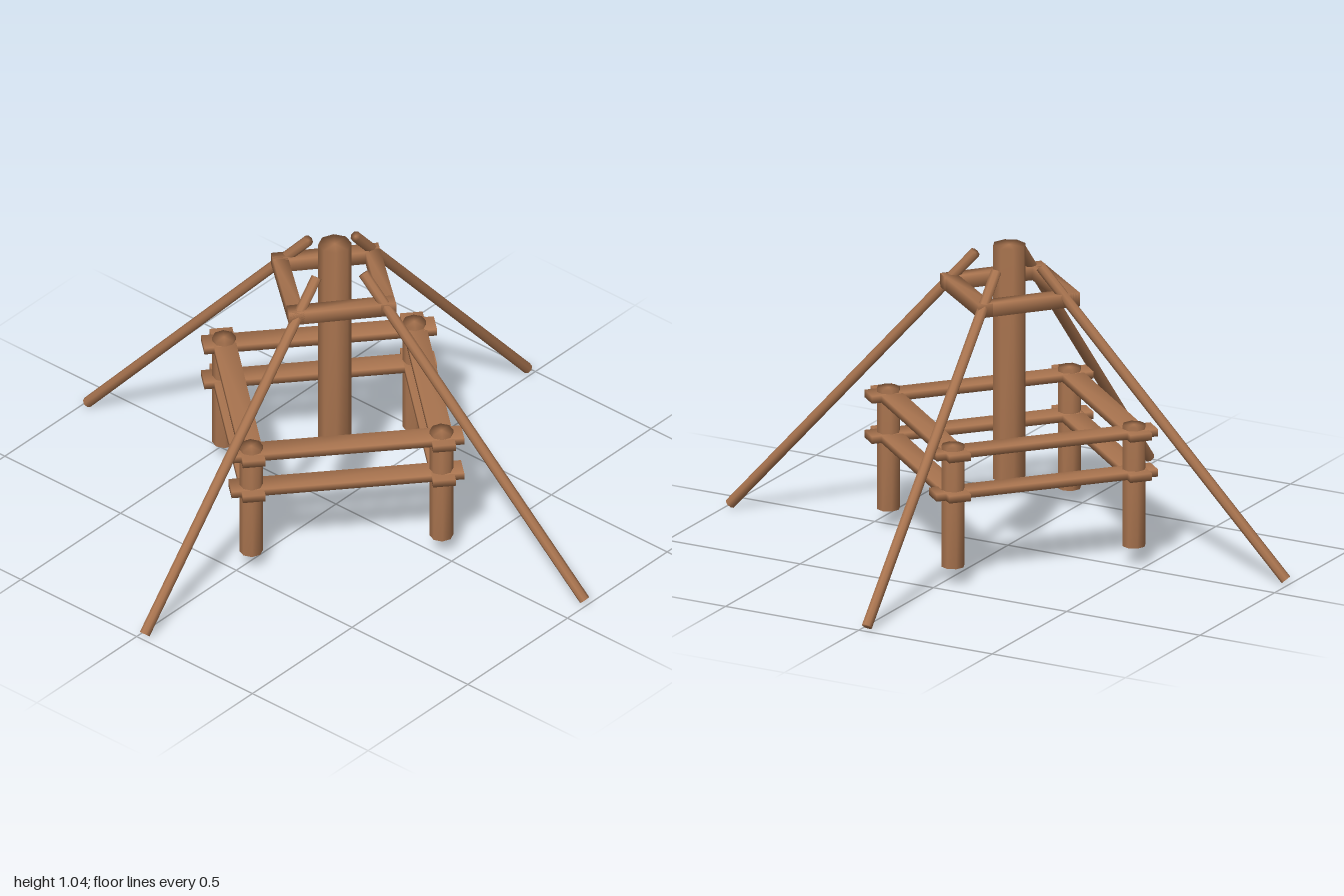
import * as THREE from 'three';
import { mergeVertices } from 'three/addons/utils/BufferGeometryUtils.js';

const wood = new THREE.MeshStandardMaterial({ color: 0xa9744f });

// Share corner vertices so the timber has softly blended shading.
function soften(geometry) {
  geometry.deleteAttribute('uv');
  geometry.deleteAttribute('normal');
  const merged = mergeVertices(geometry, 1e-4);
  merged.computeVertexNormals();
  return merged;
}

function addMesh(parent, name, geometry) {
  const mesh = new THREE.Mesh(soften(geometry), wood);
  mesh.name = name;
  parent.add(mesh);
  return mesh;
}

// Round timber running between two points.
function addPole(parent, name, from, to, radius, sides = 8) {
  const dir = to.clone().sub(from);
  const mesh = addMesh(parent, name, new THREE.CylinderGeometry(radius, radius, dir.length(), sides));
  mesh.position.copy(from).add(to).multiplyScalar(0.5);
  mesh.quaternion.setFromUnitVectors(new THREE.Vector3(0, 1, 0), dir.normalize());
  return mesh;
}

// Flat beam between two corners, running past each by `extra`.
function addBeam(parent, name, a, b, height, width, extra) {
  const d = b.clone().sub(a);
  const mesh = addMesh(parent, name, new THREE.BoxGeometry(d.length() + 2 * extra, height, width));
  mesh.position.copy(a).add(b).multiplyScalar(0.5);
  mesh.rotation.y = Math.atan2(-d.z, d.x);
  return mesh;
}

// Quarter-turn copy of a point around the frame centre.
const turn = (x, y, z, i) =>
  new THREE.Vector3(x, y, z).applyAxisAngle(new THREE.Vector3(0, 1, 0), (i * Math.PI) / 2);

export function createModel() {
  const model = new THREE.Group();
  model.name = 'timberFrame';

  // Thick post hanging in the middle
  addPole(model, 'centrePost', new THREE.Vector3(-0.003, 0.235, 0.002), new THREE.Vector3(-0.003, 1.04, 0.002), 0.055);

  // Square lower pen: posts with two levels of rails
  const pen = new THREE.Group();
  pen.name = 'lowerFrame';
  pen.position.set(-0.008, 0, 0.007);
  model.add(pen);

  // Square collar near the top of the poles
  const collar = new THREE.Group();
  collar.name = 'upperCollar';
  collar.position.set(-0.003, 0, 0.008);
  model.add(collar);

  for (let i = 0; i < 4; i++) {
    addPole(pen, 'cornerPost', turn(0.03, 0.065, 0.444, i), turn(0.03, 0.482, 0.444, i), 0.039);
    for (const y of [0.318, 0.457]) {
      addBeam(pen, 'rail', turn(0.03, y, 0.444, i), turn(0.03, y, 0.444, i + 1), 0.025, 0.075, 0.07);
    }
    addBeam(collar, 'collarBeam', turn(0.02, 0.882, 0.215, i), turn(0.02, 0.882, 0.215, i + 1), 0.046, 0.05, 0.025);
  }

  // Four long slanted poles, the side pair splayed more than the front pair
  for (const s of [1, -1]) {
    addPole(model, 'slantedPole', new THREE.Vector3(0.022 * s, 0.013, 0.985 * s), new THREE.Vector3(0.028 * s, 0.988, 0.13 * s), 0.018);
    addPole(model, 'slantedPole', new THREE.Vector3(0.985 * s, 0.013, -0.103 * s), new THREE.Vector3(0.13 * s, 0.988, 0.013 * s), 0.018);
  }
  return model;
}
